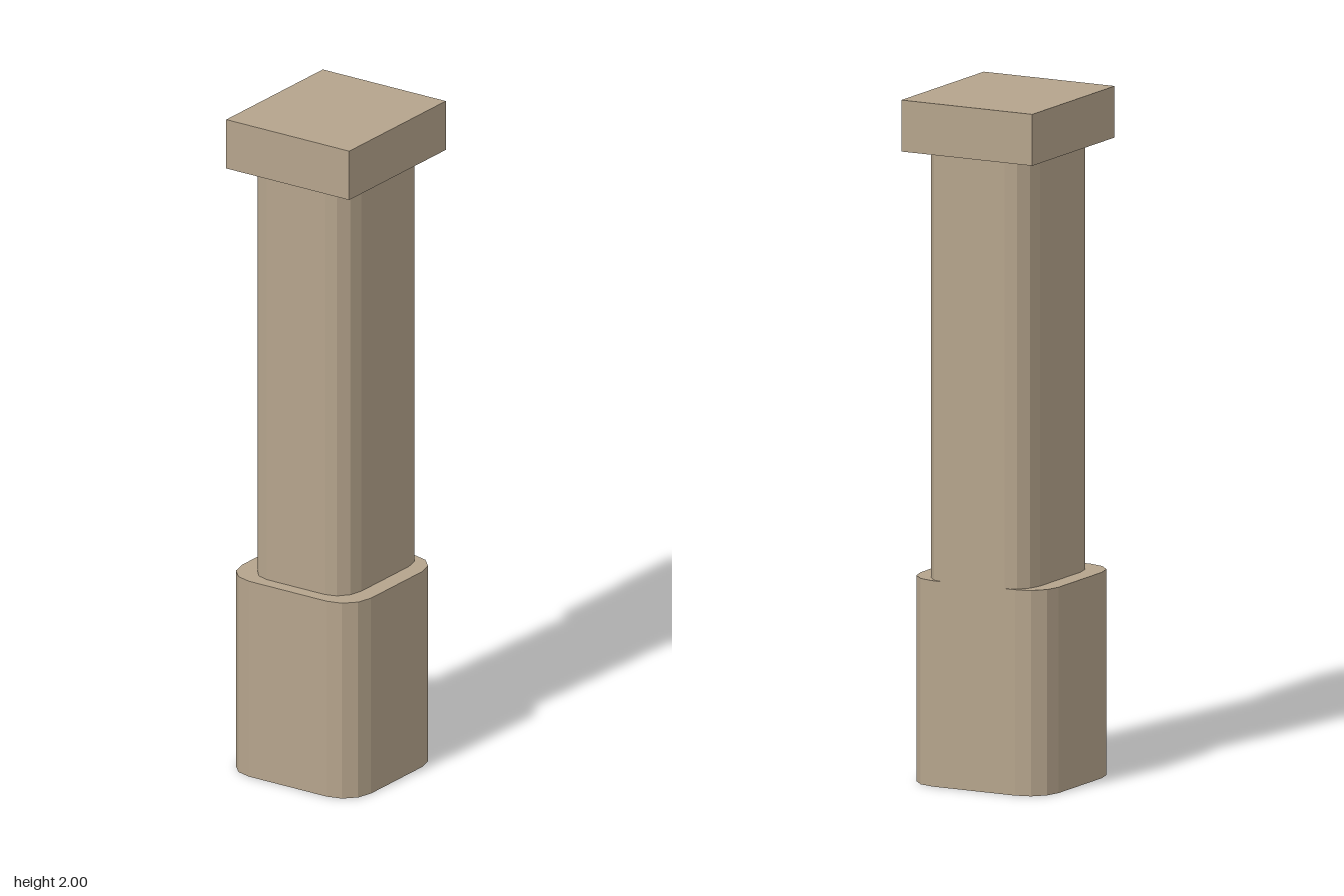
import * as THREE from 'three';

const stone = new THREE.MeshStandardMaterial({ color: 0xb5a48c });
stone.name = 'sandstone';
stone.flatShading = true;

// Upright prism with a rounded rectangular plan; three facets per corner
function roundedPrism(name, halfX, halfZ, rx, rz, y0, y1, z) {
  const points = [];
  const corners = [[1, 1], [-1, 1], [-1, -1], [1, -1]];
  corners.forEach(([sx, sz], i) => {
    for (let k = 0; k <= 3; k++) {
      const a = (i + k / 3) * Math.PI / 2;
      points.push(new THREE.Vector2(
        sx * (halfX - rx) + rx * Math.cos(a),
        sz * (halfZ - rz) + rz * Math.sin(a)
      ));
    }
  });
  const geometry = new THREE.ExtrudeGeometry(new THREE.Shape(points), {
    depth: y1 - y0, bevelEnabled: false,
  });
  geometry.rotateX(-Math.PI / 2);
  const mesh = new THREE.Mesh(geometry, stone);
  mesh.name = name;
  mesh.position.set(0, y0, z);
  return mesh;
}

export function createModel() {
  const pillar = new THREE.Group();
  pillar.name = 'pillar';

  // Base is flush with the shaft at the back and steps out at the front
  pillar.add(roundedPrism('base', 0.226, 0.22, 0.09, 0.093, 0, 0.6, 0.02));
  pillar.add(roundedPrism('shaft', 0.172, 0.2, 0.07, 0.082, 0.6, 1.85, 0));

  // Square-edged slab on top
  const cap = new THREE.Mesh(new THREE.BoxGeometry(0.43, 0.15, 0.48), stone);
  cap.name = 'cap';
  cap.position.y = 1.925;
  pillar.add(cap);

  return pillar;
}
